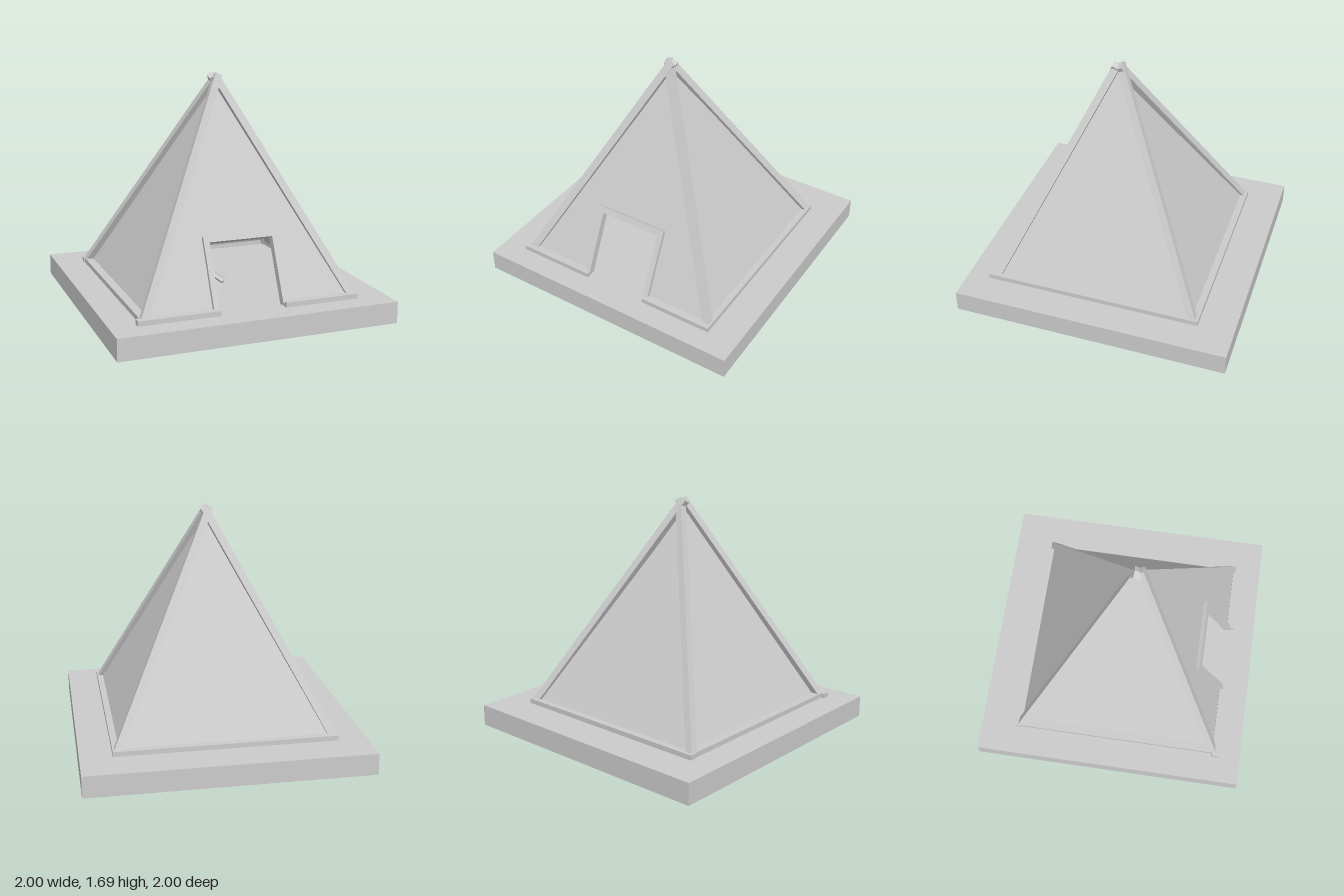
import * as THREE from 'three';

const FLOOR = 0.155;
const APEX = new THREE.Vector3(0, 1.61, 0.1);
const X = 0.745, ZB = -0.71, ZF = 0.795; // tent footprint

export function createModel() {
  const model = new THREE.Group();
  const mat = new THREE.MeshStandardMaterial({ color: 0xcccccc, flatShading: true });
  const cloth = new THREE.MeshStandardMaterial({ color: 0xcccccc, flatShading: true, side: THREE.DoubleSide });

  const add = (name, geometry, material = mat, parent = model) => {
    const mesh = new THREE.Mesh(geometry, material);
    mesh.name = name;
    parent.add(mesh);
    return mesh;
  };
  // Box given by its extents
  const block = (name, x0, x1, y0, y1, z0, z1) => {
    const mesh = add(name, new THREE.BoxGeometry(x1 - x0, y1 - y0, z1 - z0));
    mesh.position.set((x0 + x1) / 2, (y0 + y1) / 2, (z0 + z1) / 2);
    return mesh;
  };
  // Square beam between two points, keeping its sides facing the axes
  const beam = (name, a, b, w, d = w, parent = model) => {
    const dir = b.clone().sub(a);
    const mesh = add(name, new THREE.BoxGeometry(w, dir.length(), d), mat, parent);
    mesh.position.copy(a).add(b).multiplyScalar(0.5);
    mesh.quaternion.setFromUnitVectors(new THREE.Vector3(0, 1, 0), dir.normalize());
    return mesh;
  };
  const v = (x, y, z) => new THREE.Vector3(x, y, z);

  // Ground slab
  block('base', -1, 1, 0, FLOOR, -1, 1);

  // Three plain cloth sides
  const corners = [v(X, FLOOR, ZF), v(X, FLOOR, ZB), v(-X, FLOOR, ZB), v(-X, FLOOR, ZF)];
  ['leftPanel', 'backPanel', 'rightPanel'].forEach((name, i) => {
    const g = new THREE.BufferGeometry().setFromPoints([corners[i], corners[i + 1], APEX]);
    g.computeVertexNormals();
    add(name, g, cloth);
  });

  // Front cloth with the doorway cut out, leaned back to the apex
  const slope = (ZF - APEX.z) / (APEX.y - FLOOR);
  const frontZ = (y) => ZF - (y - FLOOR) * slope;
  const shape = new THREE.Shape([
    [-X, FLOOR], [-0.25, FLOOR], [-0.25, 0.61], [0.23, 0.61], [0.23, FLOOR], [X, FLOOR], [0, APEX.y],
  ].map(([x, y]) => new THREE.Vector2(x, y)));
  const front = new THREE.ShapeGeometry(shape);
  const pos = front.attributes.position;
  for (let i = 0; i < pos.count; i++) pos.setZ(i, frontZ(pos.getY(i)));
  front.computeVertexNormals();
  add('frontPanel', front, cloth);

  // Door frame following the slope
  const lintel = add('doorLintel', new THREE.BoxGeometry(0.54, 0.045, 0.055));
  lintel.position.set(-0.01, 0.608, frontZ(0.608));
  lintel.rotation.x = -Math.atan(slope);
  for (const [name, x] of [['rightDoorPost', -0.26], ['leftDoorPost', 0.24]]) {
    beam(name, v(x, FLOOR + 0.01, frontZ(FLOOR + 0.01)), v(x, 0.6, frontZ(0.6)), 0.04, 0.055);
  }

  // Corner poles, crossing slightly past each other at the peak
  beam('frontRightPole', v(-0.765, 0.165, 0.79), v(0.015, 1.665, 0.1), 0.053);
  beam('frontLeftPole', v(0.745, 0.165, 0.785), v(-0.005, 1.65, 0.1), 0.053);
  beam('backRightPole', v(-0.765, 0.165, -0.7), v(0.015, 1.66, 0.085), 0.053);
  beam('backLeftPole', v(0.745, 0.165, -0.7), v(-0.025, 1.665, 0.085), 0.053);

  // Rails along the foot of the cloth
  const top = 0.19;
  block('frontRailRight', -0.815, -0.24, FLOOR, top, 0.785, 0.84);
  block('frontRailLeft', 0.23, 0.775, FLOOR, top, 0.785, 0.84);
  block('backRail', -0.795, 0.775, FLOOR, top, -0.74, -0.69);
  block('rightRail', -0.79, -0.73, FLOOR, top, -0.74, 0.83);
  block('leftRail', 0.73, 0.775, FLOOR, top, -0.74, 0.83);

  // Small stack of firewood on the floor inside
  const fire = new THREE.Group();
  fire.name = 'campfire';
  fire.position.set(-0.03, FLOOR, 0.08);
  model.add(fire);
  for (let i = 0; i < 7; i++) {
    const a = (i / 7) * Math.PI * 2 + 0.2, c = Math.cos(a), s = Math.sin(a);
    beam('log', v(c * 0.12, 0.01, s * 0.12), v(-c * 0.012, 0.056, -s * 0.012), 0.02, 0.02, fire);
  }
  return model;
}
